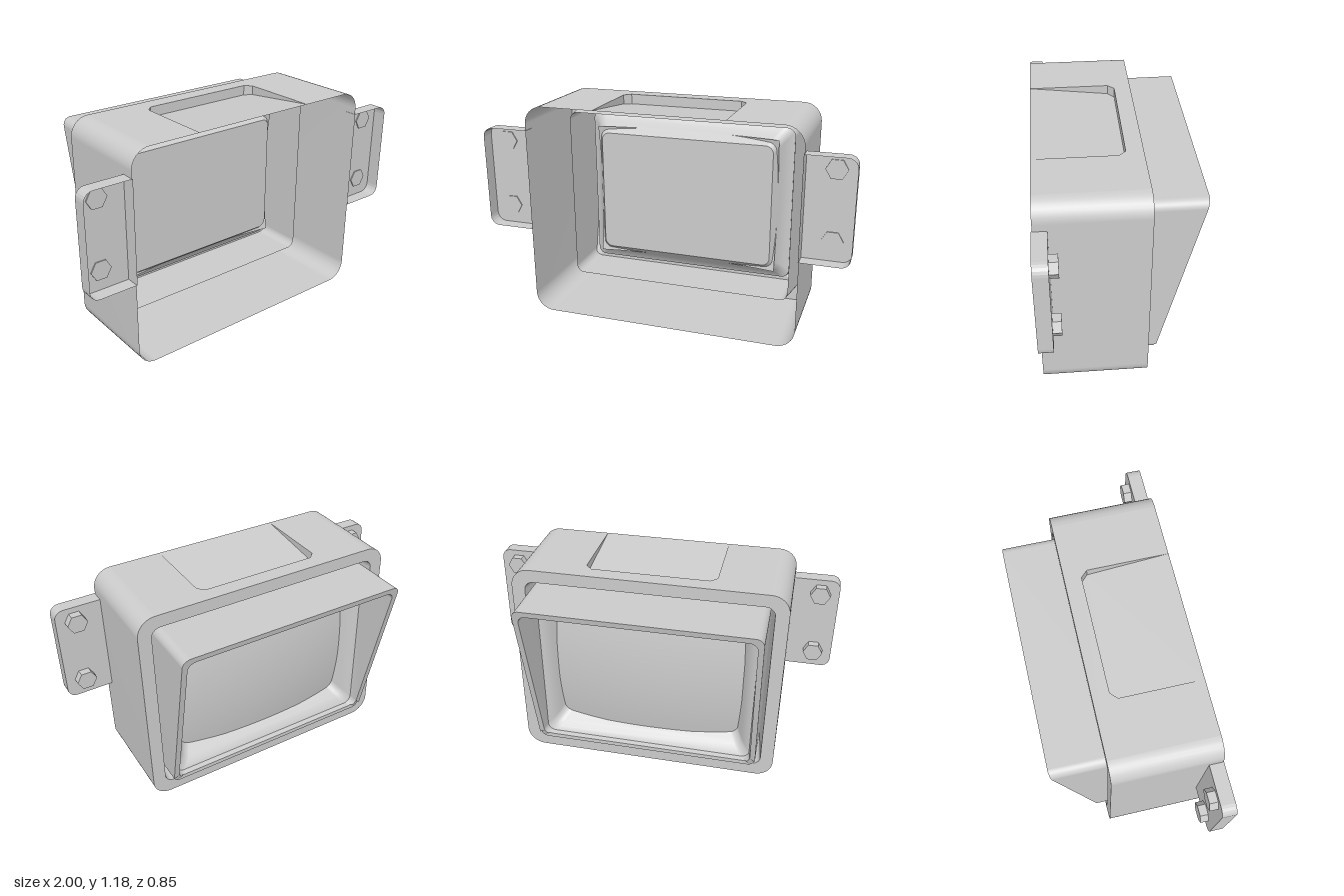
import * as THREE from 'three';

const material = new THREE.MeshStandardMaterial({ color: 0xcccccc, side: THREE.DoubleSide });

function add(parent, name, geometry) {
  const mesh = new THREE.Mesh(geometry, material);
  mesh.name = name;
  parent.add(mesh);
  return mesh;
}

// Rounded rectangle running from its top left corner round to its top right one
function outline(halfWidth, y0, y1, r) {
  const points = [];
  const w = halfWidth - r;
  const centres = [[-w, y1 - r], [-w, y0 + r], [w, y0 + r], [w, y1 - r]];
  centres.forEach(([cx, cy], corner) => {
    for (let i = 0; i <= 8; i++) {
      const a = Math.PI / 2 * (1 + corner + i / 8);
      points.push([cx + r * Math.cos(a), cy + r * Math.sin(a)]);
    }
  });
  return points;
}

// Smooth surface through rings of [halfWidth, y0, y1, radius, z]; z may be a function of y
function loft(rings, closed = true) {
  const positions = [], index = [];
  let n = 0;
  for (const [w, y0, y1, r, z] of rings) {
    const points = outline(w, y0, y1, r);
    n = points.length;
    for (const [x, y] of points) positions.push(x, y, typeof z === 'function' ? z(y) : z);
  }
  for (let k = 0; k < rings.length - 1; k++) {
    for (let i = 0; i < (closed ? n : n - 1); i++) {
      const j = (i + 1) % n;
      const a = k * n + i, b = k * n + j, c = a + n, d = b + n;
      index.push(a, c, b, b, c, d);
    }
  }
  const geometry = new THREE.BufferGeometry();
  geometry.setAttribute('position', new THREE.Float32BufferAttribute(positions, 3));
  geometry.setIndex(index);
  geometry.computeVertexNormals();
  return geometry;
}

// Moves every vertex by a rule
function reshape(geometry, rule) {
  const p = geometry.attributes.position;
  for (let i = 0; i < p.count; i++) p.setXYZ(i, ...rule(p.getX(i), p.getY(i), p.getZ(i)));
  geometry.computeVertexNormals();
  return geometry;
}

const toShape = points => new THREE.Shape(points.map(([x, y]) => new THREE.Vector2(x, y)));

// Wall along [x, z] points from a flat top down to a floor height
function wallBetween(points, top, floor) {
  const positions = [];
  for (let i = 0; i < points.length - 1; i++) {
    const [ax, az] = points[i], [bx, bz] = points[i + 1];
    const a = [ax, top, az], b = [bx, top, bz];
    const c = [ax, floor(az), az], d = [bx, floor(bz), bz];
    positions.push(...a, ...b, ...c, ...b, ...d, ...c);
  }
  const geometry = new THREE.BufferGeometry();
  geometry.setAttribute('position', new THREE.Float32BufferAttribute(positions, 3));
  geometry.computeVertexNormals();
  return geometry;
}

const grooveDepth = 0.09;

function createHousing() {
  const group = new THREE.Group();
  group.name = 'housing';
  const top = 1.185, open = 0.42, back = -0.14;

  // Open shell with its flat top left out
  add(group, 'housingWall', loft([[0.745, 0, top, 0.1, open], [0.745, 0, top, 0.1, back]], false));
  add(group, 'housingFrame', loft([[0.745, 0, top, 0.1, back], [0.672, 0.075, 1.115, 0.05, back]]));
  // Deep groove between the frame and the hood
  add(group, 'frameGroove', loft([[0.672, 0.075, 1.115, 0.05, back], [0.645, 0.1, 1.09, 0.045, grooveDepth]]));

  // Top panel with a sloping grip recess
  const recess = [[0.355, open], [0.355, -0.015], [0.32, -0.05], [-0.32, -0.05], [-0.355, -0.015], [-0.355, open]];
  const panel = [[0.645, open], [0.645, back], [-0.645, back], [-0.645, open], ...[...recess].reverse()];
  const floor = z => top - 0.055 * (open - z) / 0.47;
  add(group, 'topPanel', reshape(new THREE.ShapeGeometry(toShape(panel)), (x, z) => [x, top, z]));
  add(group, 'recessFloor', reshape(new THREE.ShapeGeometry(toShape(recess)), (x, z) => [x, floor(z), z]));
  add(group, 'recessWall', wallBetween(recess, top, floor));
  return group;
}

function createHood() {
  const group = new THREE.Group();
  group.name = 'hood';
  // Slanted rim with a small step at the foot
  const rim = y => (y < 0.13 ? -0.185 : -0.2 - 0.22 * (y - 0.145) / 0.94);
  add(group, 'hoodOuterWall', loft([[0.645, 0.1, 1.09, 0.045, grooveDepth], [0.645, 0.1, 1.093, 0.045, rim]]));
  add(group, 'hoodRim', loft([[0.645, 0.1, 1.093, 0.045, rim], [0.615, 0.125, 1.06, 0.045, rim]]));
  add(group, 'hoodInnerWall', loft([[0.615, 0.125, 1.06, 0.045, rim], [0.605, 0.13, 1.05, 0.045, -0.155]]));
  return group;
}

function createScreen() {
  const group = new THREE.Group();
  group.name = 'display';
  // Dished surround, shallow at the hood and steep at the screen
  add(group, 'bezel', loft([
    [0.605, 0.13, 1.05, 0.045, -0.155],
    [0.58, 0.155, 1.03, 0.045, -0.143],
    [0.555, 0.182, 1.005, 0.045, -0.117],
    [0.54, 0.2, 0.988, 0.045, -0.09],
    [0.508, 0.24, 0.95, 0.045, -0.04],
  ]));
  const tubeBack = new THREE.ShapeGeometry(toShape(outline(0.508, 0.24, 0.95, 0.045)));
  add(group, 'tubeBack', tubeBack).position.z = -0.04;

  // Bulging screen facing the hood
  const bulge = reshape(new THREE.PlaneGeometry(1.07, 0.78, 24, 20), (x, y) =>
    [x, y + 0.594, -0.13 + 0.045 * (x / 0.535) ** 2 + 0.035 * (y / 0.39) ** 2]);
  add(group, 'screen', bulge);
  return group;
}

function createBracket(side) {
  const group = new THREE.Group();
  group.name = side > 0 ? 'leftBracket' : 'rightBracket';
  const r = 0.05, y0 = 0.49, y1 = 1.05, inner = 0.742;
  const points = [[inner, y0]];
  for (const [cy, start] of [[y0 + r, -Math.PI / 2], [y1 - r, 0]]) {
    for (let i = 0; i <= 5; i++) {
      const a = start + Math.PI / 2 * i / 5;
      points.push([1 - r + r * Math.cos(a), cy + r * Math.sin(a)]);
    }
  }
  points.push([inner, y1]);
  const mirrored = points.map(([x, y]) => [x * side, y]);

  // Mounting plate with a raised lip all round, hollow towards the front
  add(group, 'bracketPlate', new THREE.ShapeGeometry(toShape(mirrored))).position.z = 0.35;
  const lip = wallBetween([...mirrored, mirrored[0]], 0.425, () => 0.35);
  add(group, 'bracketLip', reshape(lip, (x, z, y) => [x, y, z]));

  // Hexagonal bolts passing just through the plate
  for (const y of [0.97, 0.597]) {
    const bolt = new THREE.CylinderGeometry(0.056, 0.056, 0.05, 6).toNonIndexed();
    bolt.rotateY(Math.PI / 2);
    bolt.rotateX(Math.PI / 2);
    bolt.computeVertexNormals();
    add(group, 'bolt', bolt).position.set(0.895 * side, y, 0.331);
  }
  return group;
}

export function createModel() {
  const model = new THREE.Group();
  model.name = 'hoodedMonitor';
  model.add(createHousing(), createHood(), createScreen(), createBracket(1), createBracket(-1));
  return model;
}
